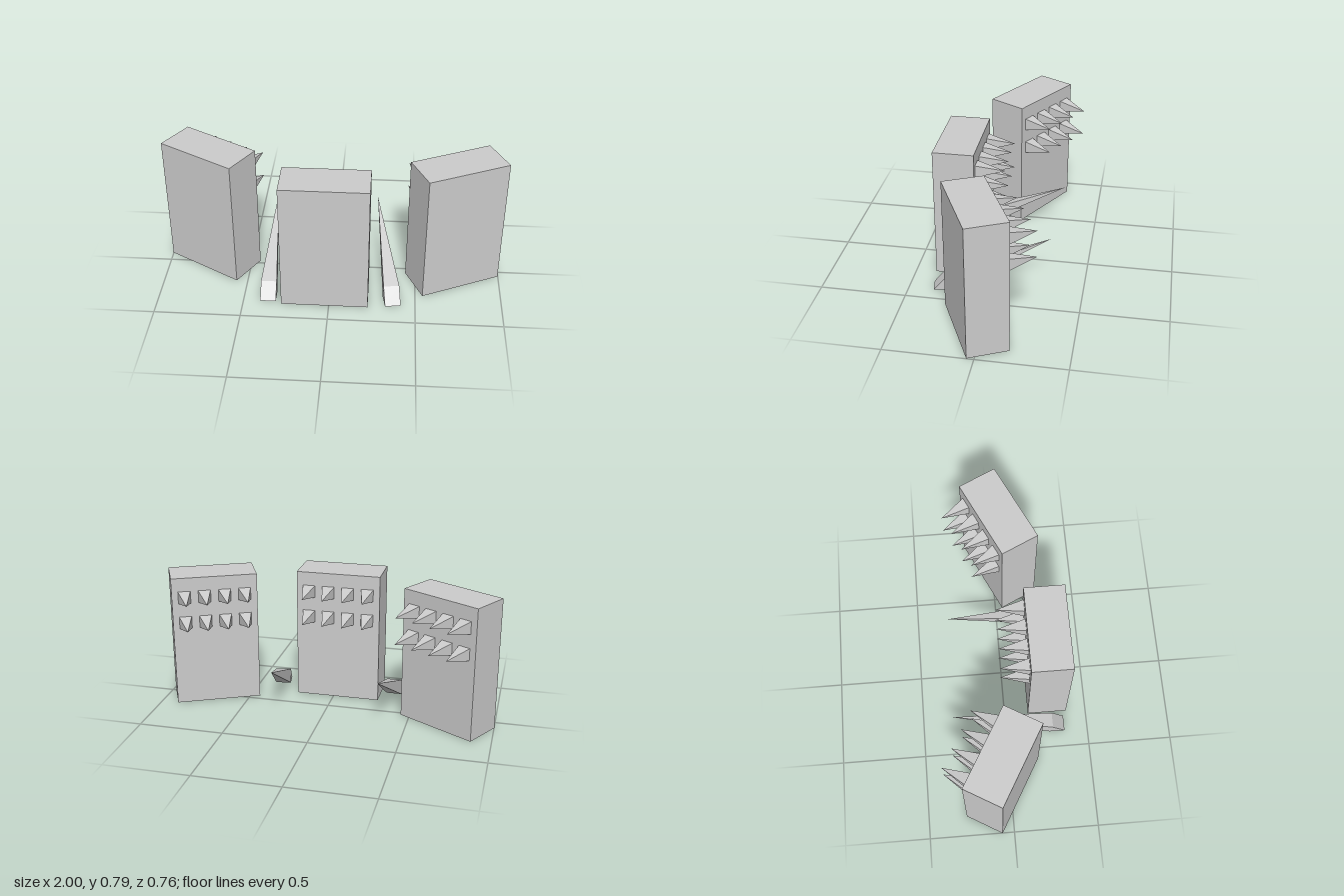
import * as THREE from 'three';
import { ConvexGeometry } from 'three/addons/geometries/ConvexGeometry.js';

const material = new THREE.MeshStandardMaterial({ color: 0xcccccc, flatShading: true });

function addMesh(parent, name, geometry, x = 0, y = 0, z = 0) {
  const mesh = new THREE.Mesh(geometry, material);
  mesh.name = name;
  mesh.position.set(x, y, z);
  parent.add(mesh);
}

const W = 0.503, H = 0.787, D = 0.236;
const SPIKE_LENGTH = 0.166;

// Upright slab with two rows of square spikes on its back
function spikedPanel(name, x, z, angle) {
  const group = new THREE.Group();
  group.name = name;
  addMesh(group, 'slab', new THREE.BoxGeometry(W, H, D), 0, H / 2, 0);

  const spike = new THREE.ConeGeometry(0.0365 * Math.SQRT2, SPIKE_LENGTH, 4);
  spike.rotateY(Math.PI / 4);
  spike.rotateX(-Math.PI / 2);
  for (const y of [0.513, 0.669]) {
    for (let i = 0; i < 4; i++) {
      addMesh(group, 'backSpike', spike, -0.176 + i * 0.118, y, -D / 2 - SPIKE_LENGTH / 2);
    }
  }
  group.position.set(x, 0, z);
  group.rotation.y = angle;
  return group;
}

// Ground spike: wedge foot that tapers up and back to a point
function groundSpike(name, x, z, angle) {
  const group = new THREE.Group();
  group.name = name;
  const points = [new THREE.Vector3(0, 0.317, -0.673)];
  for (const side of [-0.046, 0.046]) {
    points.push(
      new THREE.Vector3(side, 0, 0),
      new THREE.Vector3(side, 0.088, -0.075),
      new THREE.Vector3(side, 0, -0.093)
    );
  }
  addMesh(group, 'blade', new ConvexGeometry(points));
  group.position.set(x, 0, z);
  group.rotation.y = angle;
  return group;
}

export function createModel() {
  const model = new THREE.Group();
  model.name = 'spikedBarricade';
  model.add(
    spikedPanel('rightPanel', -0.725, -0.047, -Math.PI / 6),
    spikedPanel('middlePanel', -0.026, 0.262, 0),
    spikedPanel('leftPanel', 0.72, 0.042, 0.442),
    groundSpike('rightGroundSpike', -0.357, 0.36, 0),
    groundSpike('leftGroundSpike', 0.372, 0.36, 0.167)
  );
  return model;
}
